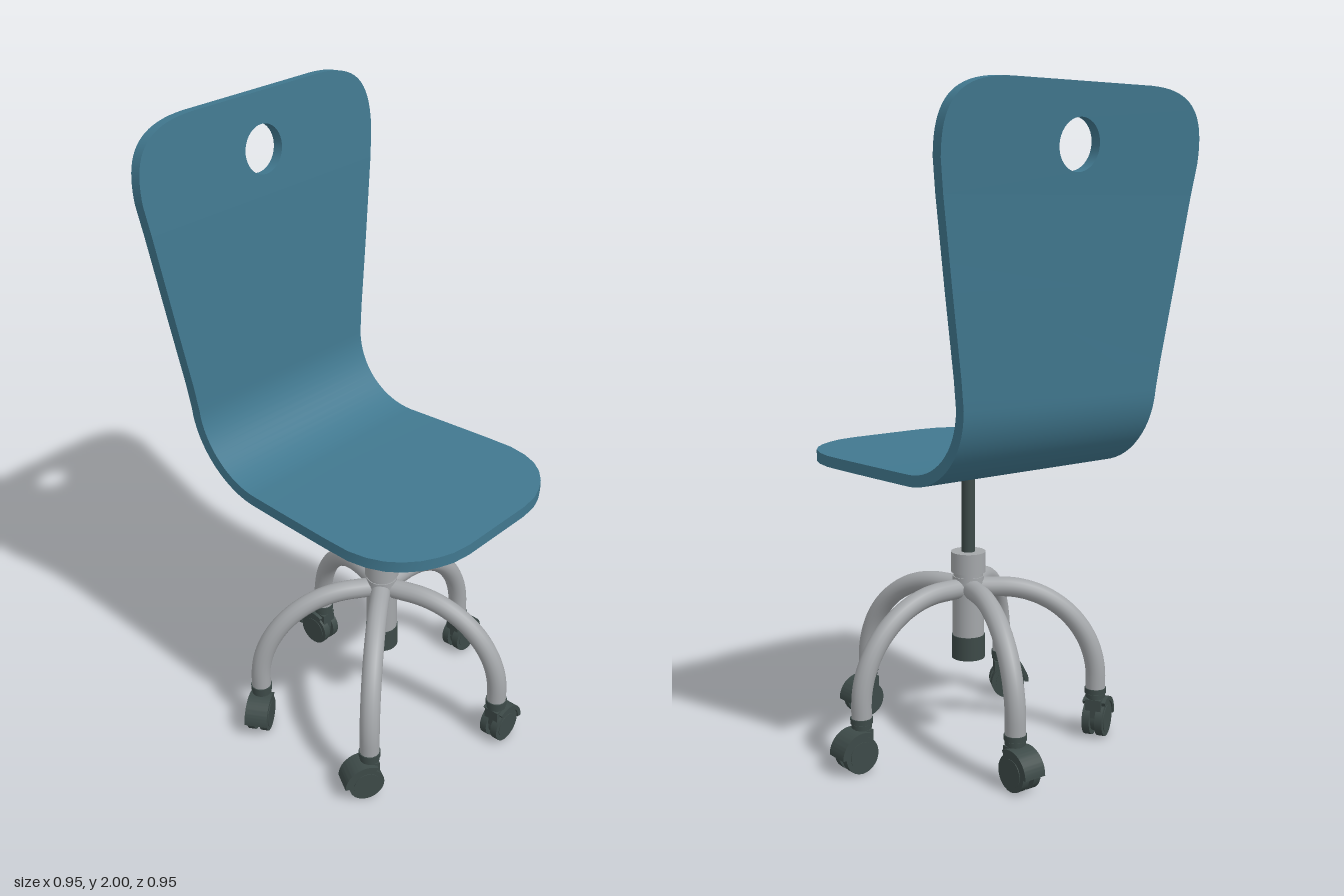
import * as THREE from 'three';
import { toCreasedNormals } from 'three/addons/utils/BufferGeometryUtils.js';

const material = (name, color) => {
  const m = new THREE.MeshStandardMaterial({ color });
  m.name = name;
  return m;
};

const CX = -0.018, CZ = 0.035;   // column axis
const THICK = 0.034;             // shell thickness
const TILT = 0.1;                // lean of the upper back

export function createModel() {
  const teal = material('teal shell', 0x41788f);
  const grey = material('grey metal', 0xa4a7aa);
  const dark = material('dark plastic', 0x3d4a48);

  const add = (parent, name, geometry, mat, x = 0, y = 0, z = 0) => {
    const mesh = new THREE.Mesh(geometry, mat);
    mesh.name = name;
    mesh.position.set(x, y, z);
    parent.add(mesh);
    return mesh;
  };
  const group = (parent, name, x = 0, y = 0, z = 0) => {
    const g = new THREE.Group();
    g.name = name;
    g.position.set(x, y, z);
    parent.add(g);
    return g;
  };
  // upright cylinder between two heights
  const post = (parent, name, mat, r, y0, y1, rBottom = r) =>
    add(parent, name, new THREE.CylinderGeometry(r, rBottom, y1 - y0, 28), mat, 0, (y0 + y1) / 2, 0);

  const chair = new THREE.Group();
  chair.name = 'swivelChair';

  // Bent seat and lower back: [z, y, half width] along the middle of the sheet
  const shell = group(chair, 'seatShell', CX, 0, 0);
  const rows = [
    [0.475, 0.13], [0.467, 0.19], [0.45, 0.235], [0.425, 0.28], [0.39, 0.32], [0.35, 0.349],
    [0.3, 0.369], [0.24, 0.379], [0.15, 0.376], [0, 0.367], [-0.15, 0.357],
  ].map(([z, h]) => [z, 0.908, h]);
  for (let i = 1; i <= 16; i++) {
    const a = (i / 16) * 1.517;
    rows.push([-0.15 - 0.24 * Math.sin(a), 1.148 - 0.24 * Math.cos(a), 0.357 - 0.005 * Math.sin(a * 2)]);
  }
  rows.push([-0.395, 1.22, 0.368], [-0.409, 1.45, 0.407], [-0.425, 1.7, 0.448]);
  const positions = [], index = [];
  rows.forEach(([z, y, h], i) => {
    const p = rows[Math.max(i - 1, 0)], q = rows[Math.min(i + 1, rows.length - 1)];
    let tz = q[0] - p[0], ty = q[1] - p[1];
    if (i === rows.length - 1) { tz = -Math.sin(TILT); ty = Math.cos(TILT); }
    const k = THICK / 2 / Math.hypot(tz, ty), nz = ty * k, ny = -tz * k;
    positions.push(h, y + ny, z + nz, -h, y + ny, z + nz, -h, y - ny, z - nz, h, y - ny, z - nz);
    if (i === 0) return;
    for (let s = 0; s < 4; s++) {
      const a = (i - 1) * 4 + s, b = (i - 1) * 4 + (s + 1) % 4;
      index.push(a, a + 4, b + 4, a, b + 4, b);
    }
  });
  index.push(0, 1, 2, 0, 2, 3);
  const sheet = new THREE.BufferGeometry();
  sheet.setAttribute('position', new THREE.Float32BufferAttribute(positions, 3));
  sheet.setIndex(index);
  add(shell, 'seatAndLowerBack', toCreasedNormals(sheet, 0.6), teal);

  // Upper back with rounded corners and hand hole
  const top = new THREE.Shape();
  top.moveTo(-0.448, 0);
  top.lineTo(0.448, 0);
  top.lineTo(0.462, 0.09);
  top.bezierCurveTo(0.47, 0.22, 0.43, 0.297, 0.25, 0.3);
  top.lineTo(-0.25, 0.3);
  top.bezierCurveTo(-0.43, 0.297, -0.47, 0.22, -0.462, 0.09);
  top.closePath();
  const hole = new THREE.Path();
  hole.absarc(0, 0.134, 0.073, 0, Math.PI * 2, true);
  top.holes.push(hole);
  const topGeo = new THREE.ExtrudeGeometry(top, { depth: THICK, bevelEnabled: false, curveSegments: 20 });
  topGeo.translate(0, 0, -THICK / 2);
  add(shell, 'upperBack', toCreasedNormals(topGeo, 0.6), teal, 0, 1.7, -0.425).rotation.x = -TILT;

  // Column and seat mount
  const base = group(chair, 'base', CX, 0, CZ);
  add(base, 'mountPlate', new THREE.BoxGeometry(0.19, 0.012, 0.19), dark, 0, 0.886, 0);
  add(base, 'mountStep', new THREE.BoxGeometry(0.12, 0.01, 0.12), dark, 0, 0.877, 0);
  post(base, 'mountBoss', dark, 0.035, 0.862, 0.874);
  post(base, 'gasRod', dark, 0.021, 0.6, 0.87);
  post(base, 'collar', grey, 0.054, 0.548, 0.612);
  post(base, 'collarGroove', grey, 0.046, 0.53, 0.55);
  post(base, 'columnTube', grey, 0.049, 0.345, 0.535);
  post(base, 'columnCap', dark, 0.052, 0.272, 0.346);

  // Curved leg, reused five times
  const v = (x, y) => new THREE.Vector3(x, y, 0);
  const path = new THREE.CurvePath();
  path.add(new THREE.LineCurve3(v(0.02, 0.498), v(0.1, 0.498)));
  path.add(new THREE.CubicBezierCurve3(v(0.1, 0.498), v(0.266, 0.498), v(0.402, 0.364), v(0.402, 0.198)));
  path.add(new THREE.LineCurve3(v(0.402, 0.198), v(0.402, 0.16)));
  const legGeo = new THREE.TubeGeometry(path, 40, 0.031, 16);

  // Caster hood: an arc of a ring above and ahead of the wheels
  const hood = new THREE.Shape();
  hood.absarc(0, 0, 0.071, 0, 2.1, false);
  hood.absarc(0, 0, 0.057, 2.1, 0, true);
  hood.closePath();
  const hoodGeo = new THREE.ExtrudeGeometry(hood, { depth: 0.074, bevelEnabled: false, curveSegments: 14 });
  hoodGeo.translate(0, 0, -0.037);
  const hoodSmooth = toCreasedNormals(hoodGeo, 0.6);
  const wheelGeo = new THREE.CylinderGeometry(0.056, 0.056, 0.024, 28).rotateX(Math.PI / 2);
  const hubGeo = new THREE.CylinderGeometry(0.042, 0.042, 0.07, 24).rotateX(Math.PI / 2);

  // Each caster swivels to its own heading
  [0, 0, 210, 150, 270].forEach((heading, i) => {
    const angle = (i * 72 * Math.PI) / 180;
    add(base, 'leg', legGeo, grey).rotation.y = -angle;
    const caster = group(base, 'caster', 0.402 * Math.cos(angle), 0, 0.402 * Math.sin(angle));
    caster.rotation.y = (-heading * Math.PI) / 180;
    post(caster, 'stemRing', dark, 0.034, 0.15, 0.166);
    post(caster, 'stemLowerRing', dark, 0.031, 0.136, 0.148);
    post(caster, 'stem', dark, 0.024, 0.1, 0.152);
    add(caster, 'forkBody', new THREE.BoxGeometry(0.05, 0.06, 0.05), dark, 0, 0.1, 0);
    add(caster, 'hood', hoodSmooth, dark, 0.019, 0.06, 0);
    add(caster, 'hub', hubGeo, dark, 0.019, 0.06, 0);
    for (const side of [-1, 1]) add(caster, 'wheel', wheelGeo, dark, 0.019, 0.06, side * 0.021);
  });

  return chair;
}
